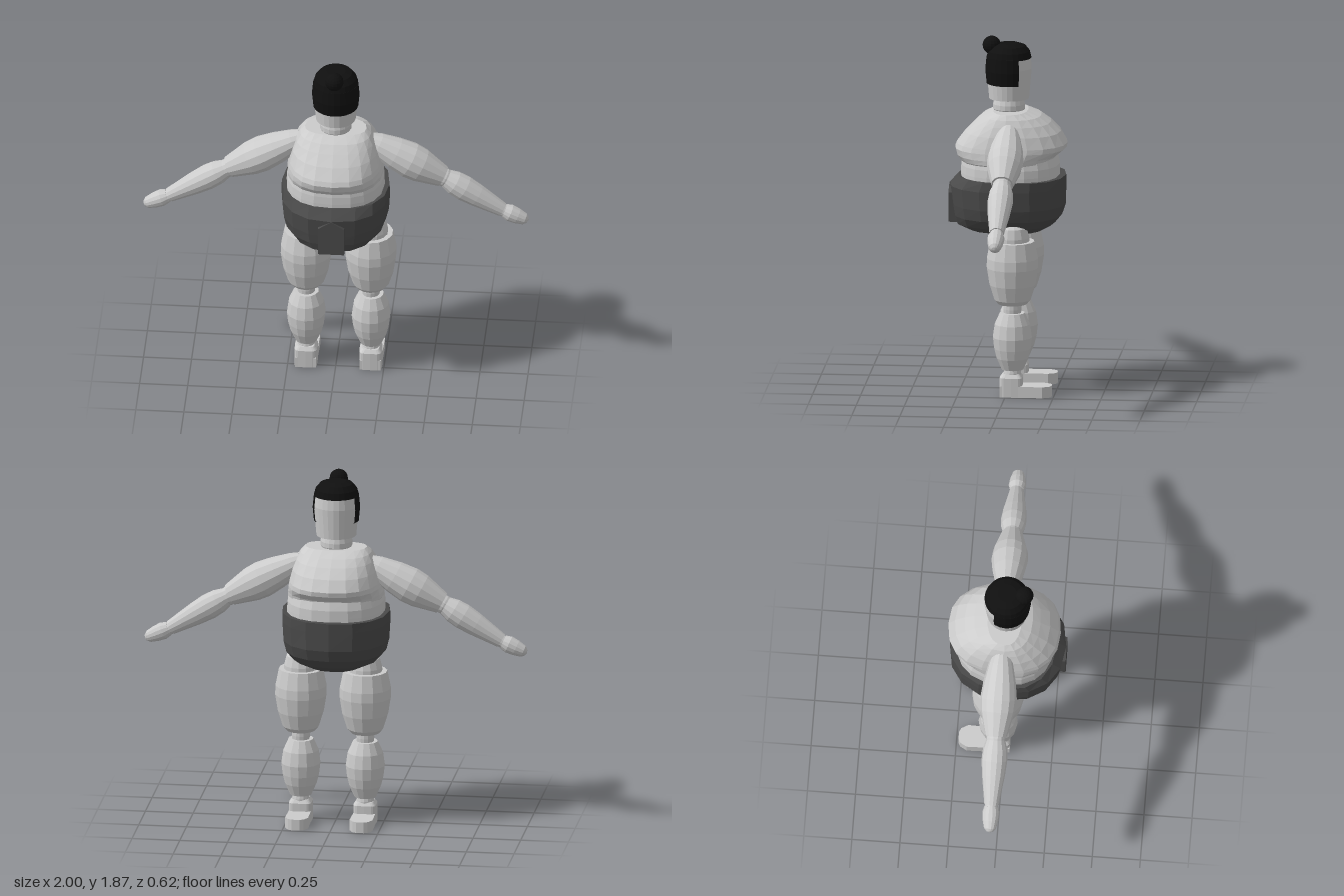
import * as THREE from 'three';

const material = (color) => new THREE.MeshStandardMaterial({ color, flatShading: true, side: THREE.DoubleSide });

// Rings bottom to top: [y, half width, +z depth, -z depth]; n squares off the cross-section.
function loft(rings, n = 2, sides = 20) {
  const pos = [], index = [];
  const p = (v) => Math.sign(v) * Math.abs(v) ** (2 / n);
  const all = [[rings[0][0], 0, 0, 0], ...rings, [rings.at(-1)[0], 0, 0, 0]];
  all.forEach(([y, rx, zf, zb], i) => {
    for (let j = 0; j < sides; j++) {
      const t = (j / sides) * Math.PI * 2, s = p(Math.sin(t));
      pos.push(rx * p(Math.cos(t)), y, s * (s > 0 ? zf : zb));
      if (i === all.length - 1) continue;
      const a = i * sides + j, b = i * sides + (j + 1) % sides;
      if (i > 0) index.push(a, a + sides, b);
      if (i < all.length - 2) index.push(b, a + sides, b + sides);
      if (i === 0) index.splice(index.length - 3, 3, b, a + sides, b + sides);
    }
  });
  const g = new THREE.BufferGeometry();
  g.setAttribute('position', new THREE.Float32BufferAttribute(pos, 3));
  g.setIndex(index);
  g.computeVertexNormals();
  return g;
}

// Closed lathe from profile points [radius, height].
const turned = (profile, sides = 14, start = 0, length = Math.PI * 2) =>
  new THREE.LatheGeometry(profile.map(([r, y]) => new THREE.Vector2(r, y)), sides, start, length);

export function createModel() {
  const model = new THREE.Group();
  const skin = material(0xcccccc), cloth = material(0x4a4a4a), black = material(0x101010);

  function add(parent, name, geometry, mat = skin, x = 0, y = 0, z = 0) {
    const mesh = new THREE.Mesh(geometry, mat);
    mesh.name = name;
    mesh.position.set(x, y, z);
    parent.add(mesh);
    return mesh;
  }

  // Turned limb between two points; profile is [radius, fraction along].
  function limb(parent, name, from, to, profile, sides = 14) {
    const a = new THREE.Vector3(...from), d = new THREE.Vector3(...to).sub(a), len = d.length();
    const mesh = add(parent, name, turned(profile.map(([r, t]) => [r, t * len]), sides), skin, ...from);
    mesh.quaternion.setFromUnitVectors(new THREE.Vector3(0, 1, 0), d.normalize());
  }

  // Torso
  add(model, 'chest', loft([
    [1.2, 0.235, 0.23, 0.23], [1.225, 0.25, 0.25, 0.24], [1.25, 0.25, 0.27, 0.255],
    [1.285, 0.245, 0.28, 0.30], [1.31, 0.24, 0.27, 0.305], [1.37, 0.225, 0.225, 0.27],
    [1.42, 0.205, 0.175, 0.22], [1.455, 0.185, 0.135, 0.17], [1.48, 0.16, 0.08, 0.10],
  ], 2.4));
  add(model, 'belly', loft([
    [1.1, 0.255, 0.25, 0.265], [1.16, 0.255, 0.25, 0.265], [1.2, 0.252, 0.248, 0.265], [1.25, 0.24, 0.24, 0.25],
  ], 2.4));

  // Belted loincloth with a folded front panel
  add(model, 'loincloth', loft([
    [0.83, 0.06, 0.14, 0.10], [0.845, 0.14, 0.20, 0.17], [0.885, 0.225, 0.275, 0.24],
    [0.93, 0.262, 0.287, 0.277], [0.99, 0.277, 0.296, 0.297], [1.09, 0.283, 0.308, 0.298],
    [1.14, 0.28, 0.262, 0.298],
  ], 2.3, 16), cloth);
  const fold = new THREE.Shape([[-0.068, 0.89], [0.068, 0.89], [0.068, 1.045], [0, 1.09], [-0.068, 1.045]]
    .map(([x, y]) => new THREE.Vector2(x, y)));
  add(model, 'loinclothFold', new THREE.ExtrudeGeometry(fold, { depth: 0.06, bevelEnabled: false }), cloth, 0, 0, 0.25);

  // Neck and head
  add(model, 'neck', turned([[0, 1.45], [0.07, 1.46], [0.083, 1.485], [0.083, 1.51], [0.074, 1.545], [0, 1.55]], 18));
  add(model, 'head', turned([[0, 1.54], [0.104, 1.54], [0.111, 1.62], [0.118, 1.7], [0.113, 1.76],
    [0.09, 1.805], [0, 1.82]], 24));

  // Hair: full cap, sides and back, topknot
  add(model, 'hairCap', turned([[0.117, 1.755], [0.108, 1.79], [0.085, 1.818], [0.05, 1.83], [0, 1.833]], 24), black);
  add(model, 'hairBack', turned([[0.111, 1.62], [0.117, 1.62], [0.124, 1.69], [0.117, 1.76], [0.1, 1.76]], 16,
    -Math.PI * 2 / 3, Math.PI * 4 / 3), black);
  add(model, 'topknot', new THREE.SphereGeometry(0.048, 16, 10), black, 0, 1.818, 0.09);

  for (const [side, s, legX] of [['left', 1, 0.181], ['right', -1, -0.156]]) {
    // Arm
    const arm = new THREE.Group();
    arm.name = side + 'Arm';
    model.add(arm);
    const z = -0.015;
    limb(arm, 'upperArm', [s * 0.17, 1.4, z], [s * 0.555, 1.195, z],
      [[0, 0], [0.045, 0.01], [0.062, 0.12], [0.084, 0.35], [0.095, 0.55], [0.09, 0.7], [0.057, 1], [0, 1]]);
    limb(arm, 'elbow', [s * 0.53, 1.205, z], [s * 0.6, 1.17, z],
      [[0, 0], [0.048, 0.1], [0.05, 0.5], [0.044, 0.9], [0, 1]]);
    limb(arm, 'forearm', [s * 0.57, 1.185, z], [s * 0.865, 1.005, z],
      [[0, 0], [0.048, 0], [0.063, 0.15], [0.067, 0.32], [0.06, 0.55], [0.038, 1], [0, 1]]);
    limb(arm, 'wrist', [s * 0.85, 1.012, z], [s * 0.9, 0.985, z],
      [[0, 0], [0.034, 0], [0.034, 1], [0, 1]]);
    limb(arm, 'hand', [s * 0.872, 1.0, z], [s * 1.0, 0.943, z],
      [[0, 0], [0.036, 0.02], [0.045, 0.25], [0.041, 0.55], [0.031, 0.85], [0.017, 0.96], [0, 1]]);

    // Leg
    const leg = new THREE.Group();
    leg.name = side + 'Leg';
    leg.position.set(legX, 0, -0.034);
    model.add(leg);
    add(leg, 'hip', turned([[0, 0.79], [0.09, 0.79], [0.088, 0.84], [0.075, 0.89], [0.045, 0.915], [0, 0.92]]));
    add(leg, 'thigh', turned([[0, 0.487], [0.075, 0.487], [0.095, 0.51], [0.12, 0.59], [0.134, 0.68],
      [0.133, 0.73], [0.115, 0.82], [0, 0.82]]));
    add(leg, 'knee', turned([[0, 0.42], [0.045, 0.43], [0.047, 0.46], [0.045, 0.5], [0, 0.5]]));
    add(leg, 'shin', turned([[0, 0.135], [0.057, 0.14], [0.083, 0.2], [0.095, 0.25], [0.102, 0.31],
      [0.092, 0.38], [0.065, 0.44], [0, 0.44]]));
    add(leg, 'ankle', turned([[0, 0.09], [0.046, 0.1], [0.046, 0.12], [0.04, 0.15], [0, 0.15]]));

    // Foot: squared heel post plus toe slab pointing to -z
    add(leg, 'heel', loft([[0, 0.059, 0.063, 0.055], [0.1, 0.059, 0.063, 0.055], [0.118, 0.045, 0.05, 0.042]], 5),
      skin, 0, 0, 0.001);
    const sole = new THREE.Shape([[-0.055, -0.062], [0.055, -0.062], [0.06, 0.16], [0.04, 0.195], [0.02, 0.205],
      [-0.02, 0.205], [-0.04, 0.195], [-0.06, 0.16]].map(([x, y]) => new THREE.Vector2(x, y)));
    add(leg, 'toes', new THREE.ExtrudeGeometry(sole, { depth: 0.058, bevelEnabled: false })).rotation.x = -Math.PI / 2;
  }
  return model;
}
